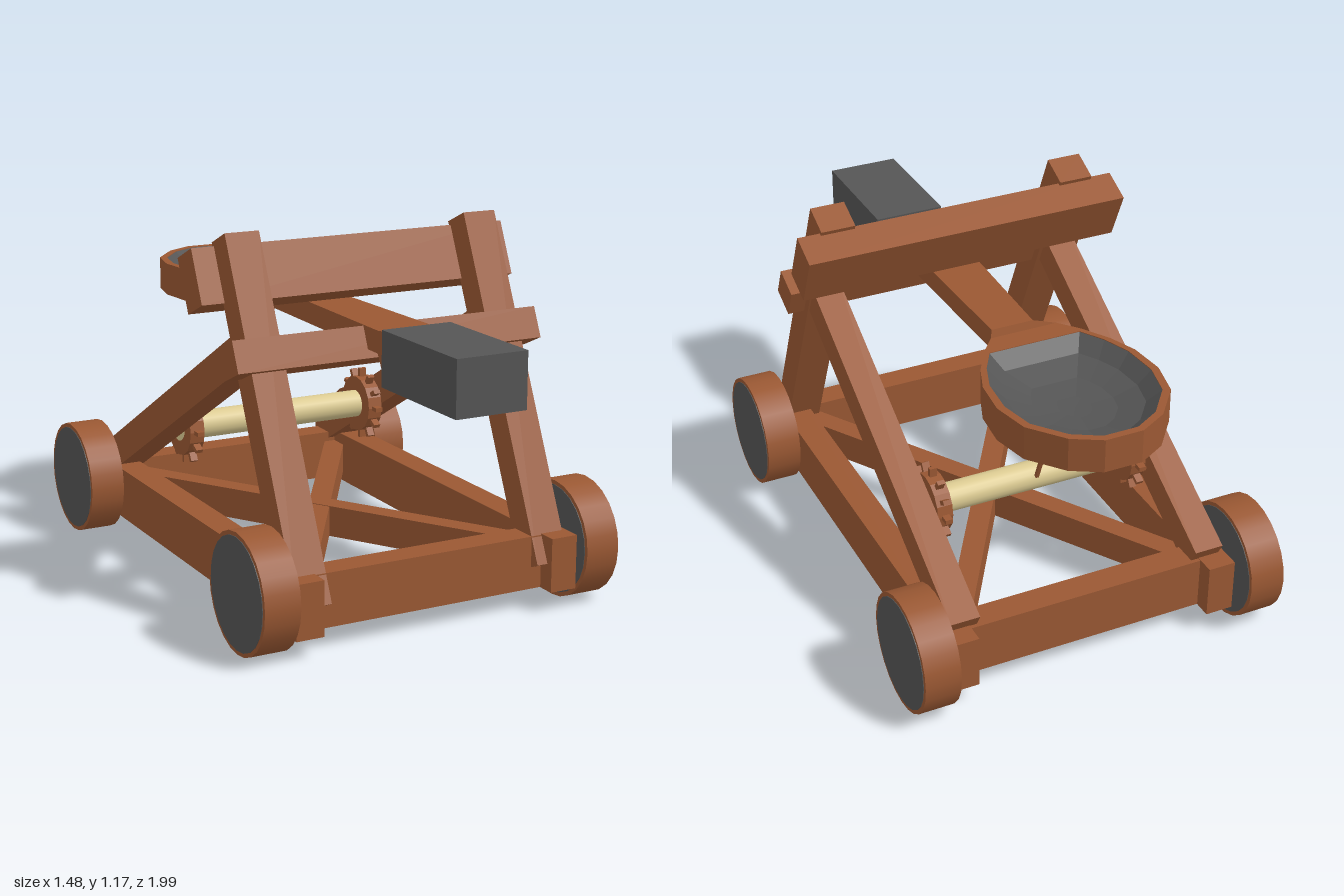
import * as THREE from 'three';

const mat = (color, extra = {}) => new THREE.MeshStandardMaterial({ color, flatShading: true, ...extra });
const wood = mat(0x9a5833);
const iron = mat(0x555555);
const ironSheet = mat(0x555555, { side: THREE.DoubleSide });
const paleWood = mat(0xdccb92);
const smoothWood = mat(0x9a5833, { flatShading: false });
const smoothPale = mat(0xdccb92, { flatShading: false });

export function createModel() {
  const root = new THREE.Group();
  root.name = 'catapult';
  const body = new THREE.Group();
  body.name = 'body';
  root.add(body);
  // the whole machine stands turned ten degrees
  root.rotation.y = -Math.PI / 18;
  body.position.x = -0.012;

  const add = (name, geometry, material, x = 0, y = 0, z = 0) => {
    const m = new THREE.Mesh(geometry, material);
    m.name = name;
    m.position.set(x, y, z);
    body.add(m);
    return m;
  };
  const box = (name, w, h, d, x, y, z, material = wood) =>
    add(name, new THREE.BoxGeometry(w, h, d), material, x, y, z);
  // squared timber running from a to b
  const beam = (name, a, b, w, h) => {
    const p = new THREE.Vector3(...a), q = new THREE.Vector3(...b);
    const m = box(name, w, h, p.distanceTo(q), 0, 0, 0);
    m.position.copy(p).add(q).multiplyScalar(0.5);
    const dir = q.clone().sub(p).normalize();
    m.quaternion.setFromRotationMatrix(
      new THREE.Matrix4().lookAt(dir, new THREE.Vector3(), new THREE.Vector3(0, 1, 0)));
    return m;
  };

  // base frame
  for (const s of [-1, 1]) box('sideRail', 0.09, 0.172, 1.55, s * 0.435, 0.15, -0.042);
  box('frontCrossRail', 0.8, 0.168, 0.09, 0, 0.149, 0.63);
  box('backCrossRail', 0.8, 0.168, 0.09, 0, 0.149, -0.715);
  for (const s of [-1, 1])
    beam('diagonalBrace', [s * 0.41, 0.15, 0.62], [-s * 0.41, 0.15, -0.7], 0.07, 0.1 + s * 0.002);

  // wheels with iron discs
  for (const s of [-1, 1]) for (const z of [0.594, -0.722]) {
    const tyre = add('wheel', new THREE.CylinderGeometry(0.186, 0.186, 0.114, 24), smoothWood, s * 0.545, 0.186, z);
    const disc = add('wheelDisc', new THREE.CylinderGeometry(0.173, 0.173, 0.118, 24), iron, s * 0.545, 0.186, z);
    tyre.rotation.z = disc.rotation.z = Math.PI / 2;
  }

  // upright frame: leaning posts and rear struts
  for (const s of [-1, 1]) {
    beam('post', [s * 0.41, 0.13, 0.665], [s * 0.41, 1.148, 0.205], 0.112, 0.1);
    beam('rearStrut', [s * 0.413, 0.845, 0.35], [s * 0.413, 0.23, -0.745], 0.095, 0.105);
  }
  const lean = -0.424;
  box('upperCrossBeam', 1.08, 0.175, 0.11, 0, 1.016, 0.16).rotation.x = lean;
  box('lowerCrossBeam', 1.04, 0.1, 0.1, 0, 0.818, 0.383).rotation.x = lean;

  // throwing arm: rectangular sections [z, half width, bottom, top]
  const sections = [
    [0.59, 0.113, 0.74, 0.903], [0.5, 0.09, 0.818, 0.887], [-0.22, 0.07, 0.818, 0.887],
    [-0.3, 0.11, 0.803, 0.91], [-0.36, 0.16, 0.803, 0.91],
  ];
  const pos = [], idx = [];
  for (const [z, w, b, t] of sections) pos.push(-w, b, z, w, b, z, w, t, z, -w, t, z);
  for (let i = 0; i < sections.length - 1; i++) for (let j = 0; j < 4; j++) {
    const a = i * 4 + j, b = i * 4 + (j + 1) % 4;
    idx.push(a, a + 4, b, b, a + 4, b + 4);
  }
  idx.push(0, 1, 2, 0, 2, 3);
  const last = (sections.length - 1) * 4;
  idx.push(last, last + 2, last + 1, last, last + 3, last + 2);
  const armGeo = new THREE.BufferGeometry();
  armGeo.setAttribute('position', new THREE.Float32BufferAttribute(pos, 3));
  armGeo.setIndex(idx);
  armGeo.computeVertexNormals();
  add('throwingArm', armGeo, wood);
  box('counterweight', 0.232, 0.172, 0.415, 0, 0.82, 0.778, iron);

  // spoon: mirrored outlines, extruded rim and floor
  const mirrored = (half) =>
    [...half, ...half.slice().reverse().map(([x, z]) => [-x, z])].map(([x, z]) => new THREE.Vector2(x, -z));
  const outer = mirrored([[0.16, -0.36], [0.215, -0.45], [0.25, -0.54], [0.262, -0.66], [0.235, -0.78], [0.15, -0.885], [0.06, -0.935]]);
  const inner = mirrored([[0.15, -0.375], [0.195, -0.45], [0.228, -0.54], [0.238, -0.66], [0.213, -0.77], [0.137, -0.865], [0.055, -0.912]]);
  const slab = (name, hole, y, depth) => {
    const shape = new THREE.Shape(outer);
    if (hole) shape.holes.push(new THREE.Path(hole));
    const g = new THREE.ExtrudeGeometry(shape, { depth, bevelEnabled: false });
    g.rotateX(-Math.PI / 2);
    add(name, g, wood, 0, y, 0);
  };
  slab('spoonFloor', null, 0.803, 0.015);
  slab('spoonRim', inner, 0.818, 0.092);

  // hollow lining of the spoon
  const rings = [[1, 0], [0.82, -0.042], [0.5, -0.068], [0.2, -0.076], [0.001, -0.077]];
  const bp = [], bi = [], n = inner.length;
  for (const [s, dy] of rings) for (const p of inner) bp.push(p.x * s, 0.908 + dy, -0.64 + (-p.y + 0.64) * s);
  for (let i = 0; i < rings.length - 1; i++) for (let j = 0; j < n; j++) {
    const a = i * n + j, b = i * n + (j + 1) % n;
    bi.push(a, b, a + n, b, b + n, a + n);
  }
  const bowlGeo = new THREE.BufferGeometry();
  bowlGeo.setAttribute('position', new THREE.Float32BufferAttribute(bp, 3));
  bowlGeo.setIndex(bi);
  bowlGeo.computeVertexNormals();
  add('spoonLining', bowlGeo, ironSheet);

  // winch drum with pegged wheels
  const wy = 0.42, wz = -0.36;
  add('winchDrum', new THREE.CylinderGeometry(0.046, 0.046, 0.72, 20), smoothPale, 0, wy, wz).rotation.z = Math.PI / 2;
  for (const s of [-1, 1]) {
    add('winchWheel', new THREE.CylinderGeometry(0.095, 0.095, 0.05, 16), wood, s * 0.333, wy, wz).rotation.z = Math.PI / 2;
    for (let i = 0; i < 12; i++) {
      const a = (i / 12) * Math.PI * 2;
      const peg = box('winchPeg', 0.024, 0.045, 0.014, s * 0.333, wy + Math.cos(a) * 0.1, wz + Math.sin(a) * 0.1);
      peg.rotation.x = a;
    }
  }

  // rope from spoon to drum
  beam('rope', [0, 0.815, -0.55], [0, 0.44, -0.402], 0.011, 0.011);
  return root;
}
